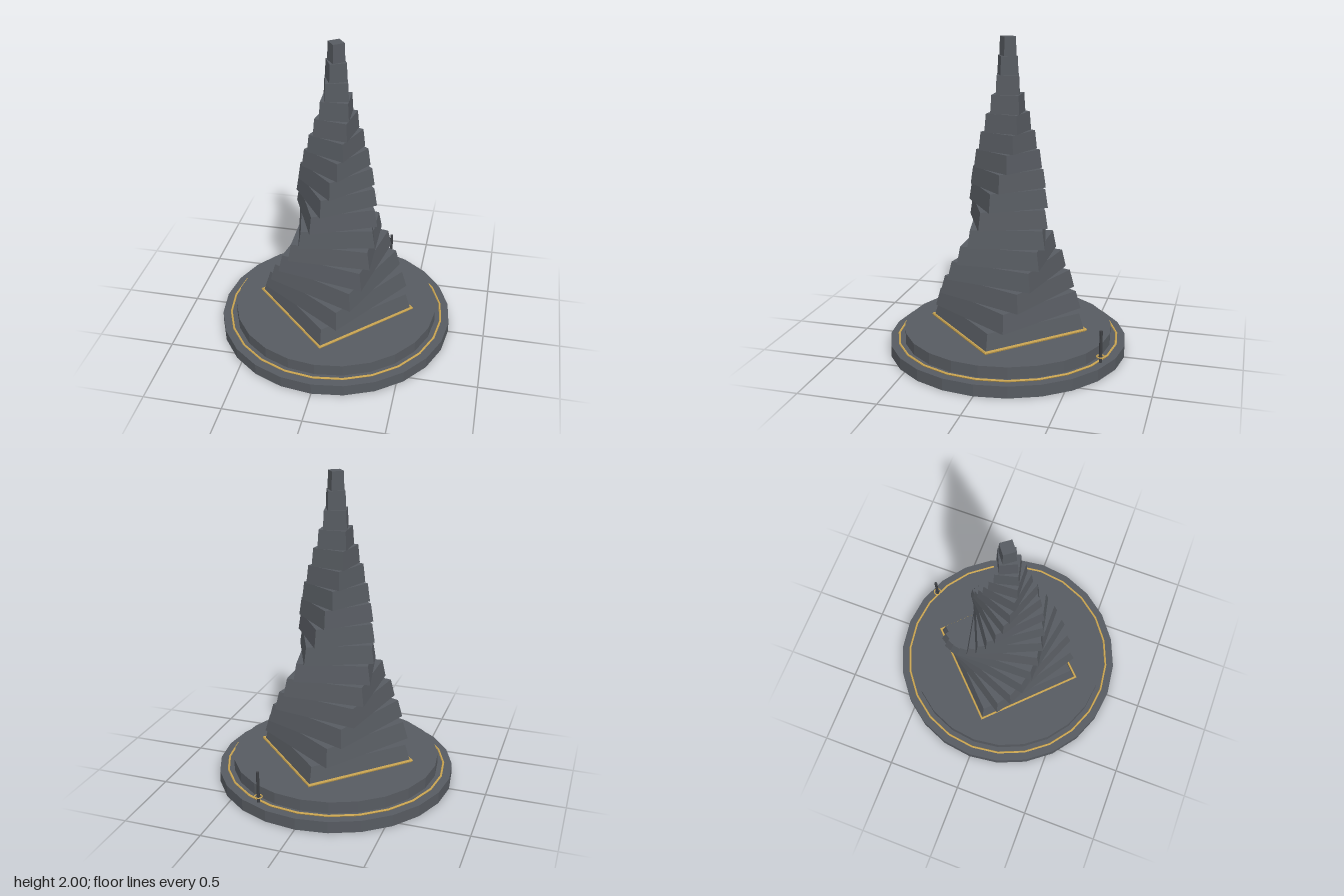
import * as THREE from 'three';

const stone = new THREE.MeshStandardMaterial({ color: 0x575b61, flatShading: true });
stone.name = 'grey stone';
const gold = new THREE.MeshStandardMaterial({ color: 0xcaa552, flatShading: true });
gold.name = 'gold';
const darkMetal = new THREE.MeshStandardMaterial({ color: 0x3c3e42, flatShading: true });
darkMetal.name = 'dark metal';

export function createModel() {
  const model = new THREE.Group();
  model.name = 'twistedTower';

  function add(name, geometry, material, x, y, z) {
    const mesh = new THREE.Mesh(geometry, material);
    mesh.name = name;
    mesh.position.set(x, y, z);
    model.add(mesh);
    return mesh;
  }
  // Upright drum or frustum standing on height y
  const drum = (name, top, bottom, height, sides, material, x, y, z) =>
    add(name, new THREE.CylinderGeometry(top, bottom, height, sides), material, x, y + height / 2, z);
  // Ring lying flat, centred on height y
  const ring = (name, radius, tube, sides, x, y, z) =>
    add(name, new THREE.TorusGeometry(radius, tube, 6, sides).rotateX(-Math.PI / 2), gold, x, y, z);

  // Round two-step base with its gold ring
  drum('lowerBase', 0.765, 0.765, 0.075, 24, stone, 0, 0, 0);
  drum('upperBase', 0.67, 0.67, 0.075, 24, stone, 0, 0.075, 0);
  ring('baseRing', 0.709, 0.007, 24, 0, 0.082, 0);

  // Square gold trim around the foot of the tower
  ring('squareTrim', 0.513, 0.01, 4, 0, 0.159, 0);

  // Tower of shrinking square tiers, each turned a little further
  const tiers = 16, floor = 0.15, tierHeight = (2 - floor) / tiers;
  for (let i = 0; i < tiers; i++) {
    const radius = 0.04 + 0.465 * Math.pow(1 - i / tiers, 1.2);
    const tier = drum('towerTier' + (i + 1), radius * 0.93, radius, tierHeight, 4, stone,
      0, floor + i * tierHeight, 0);
    tier.rotation.y = i * 0.2;
  }

  // Slim post with a gold collar at the back of the base
  drum('post', 0.01, 0.01, 0.205, 8, darkMetal, 0.275, 0.075, -0.658);
  ring('postCollar', 0.024, 0.004, 12, 0.275, 0.113, -0.658);

  return model;
}
